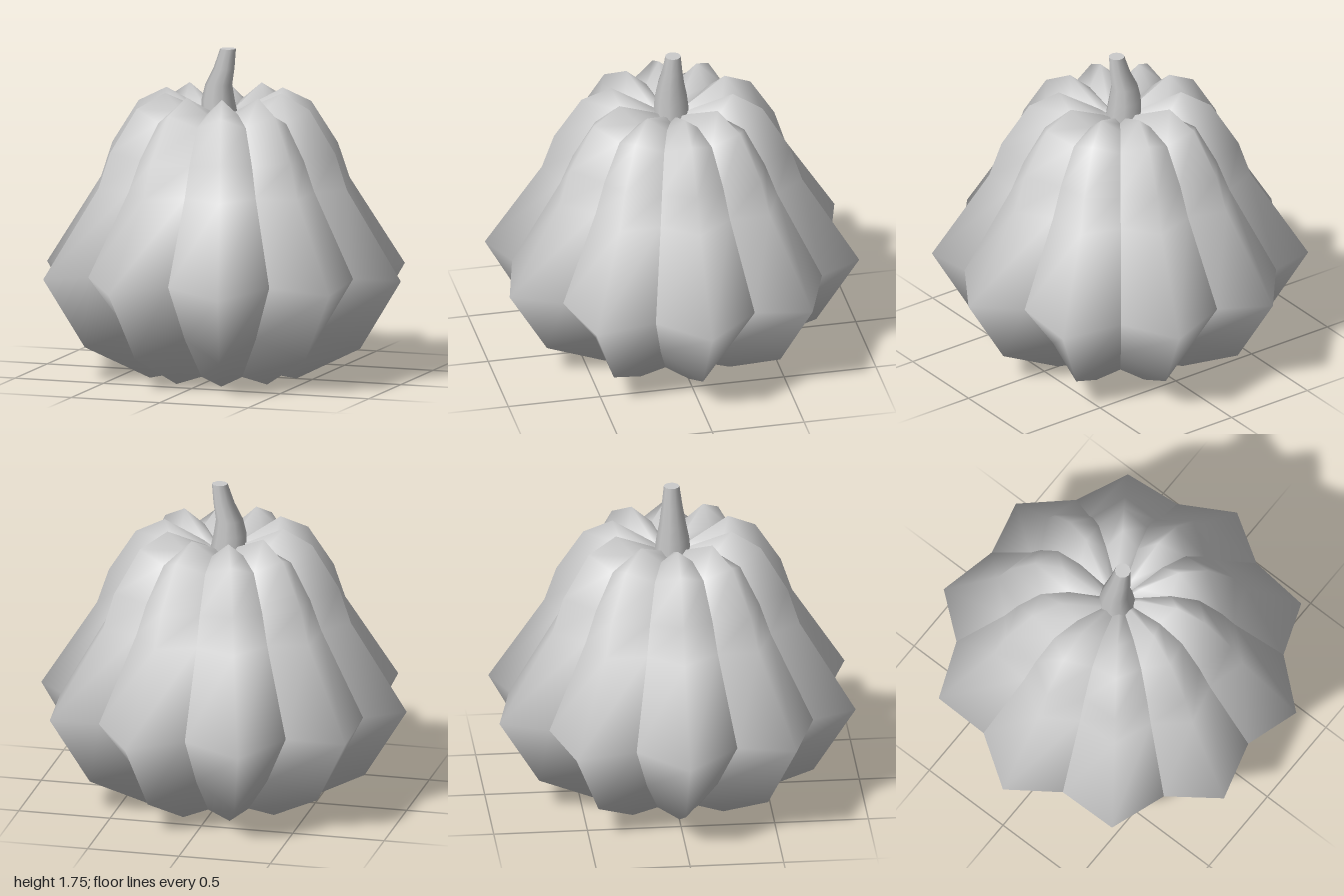
import * as THREE from 'three';

const LOBES = 10;
// [radius, height] from the underside, over the outside, down into the top pit
const RIDGE = [[0, 0.05], [0.41, 0], [0.77, 0.18], [1, 0.555], [0.695, 1.03],
  [0.63, 1.22], [0.483, 1.45], [0.325, 1.53], [0.11, 1.43], [0, 1.36]];
const VALLEY = [[0, 0.05], [0.35, 0.04], [0.61, 0.28], [0.87, 0.6], [0.61, 1.04],
  [0.54, 1.2], [0.42, 1.39], [0.27, 1.44], [0.1, 1.39], [0, 1.36]];
// stem rings: [centre x, height, radius]
const STEM = [[-0.02, 1.36, 0.1], [-0.033, 1.48, 0.088], [-0.03, 1.56, 0.072],
  [0, 1.65, 0.056], [0.023, 1.755, 0.042]];

// One lobe: a ridge between two valleys, smooth inside and sharp at the valleys
function lobeGeometry() {
  const half = Math.PI / LOBES;
  const rows = RIDGE.length;
  const positions = [];
  const index = [];
  [[VALLEY, -half], [RIDGE, 0], [VALLEY, half]].forEach(([profile, angle], c) => {
    profile.forEach(([r, y], j) => {
      positions.push(r * Math.cos(angle), y, r * Math.sin(angle));
      if (c < 2 && j < rows - 1) {
        const a = c * rows + j;
        const b = a + rows;
        if (j > 0) index.push(a, a + 1, b);
        if (j < rows - 2) index.push(a + 1, b + 1, b);
        else index.push(a, a + 1, b);
        if (j === rows - 2) index.splice(-3);
      }
    });
  });
  const geometry = new THREE.BufferGeometry();
  geometry.setAttribute('position', new THREE.Float32BufferAttribute(positions, 3));
  geometry.setIndex(index);
  geometry.computeVertexNormals();
  return geometry;
}

// Tapered, bent stem
function stemGeometry() {
  const geometry = new THREE.CylinderGeometry(1, 1, 1, 10, STEM.length - 1);
  const p = geometry.attributes.position;
  for (let i = 0; i < p.count; i++) {
    const [cx, y, r] = STEM[Math.round((p.getY(i) + 0.5) * (STEM.length - 1))];
    p.setXYZ(i, cx + p.getX(i) * r, y, p.getZ(i) * r);
  }
  return geometry;
}

export function createModel() {
  const model = new THREE.Group();
  model.name = 'pumpkin';
  const material = new THREE.MeshStandardMaterial({ color: 0xcccccc });

  const body = new THREE.Group();
  body.name = 'body';
  const lobe = lobeGeometry();
  for (let i = 0; i < LOBES; i++) {
    const mesh = new THREE.Mesh(lobe, material);
    mesh.name = `lobe${i + 1}`;
    mesh.rotation.y = (i * 2 * Math.PI) / LOBES;
    body.add(mesh);
  }
  model.add(body);

  const stem = new THREE.Mesh(stemGeometry(), material);
  stem.name = 'stem';
  model.add(stem);
  return model;
}
